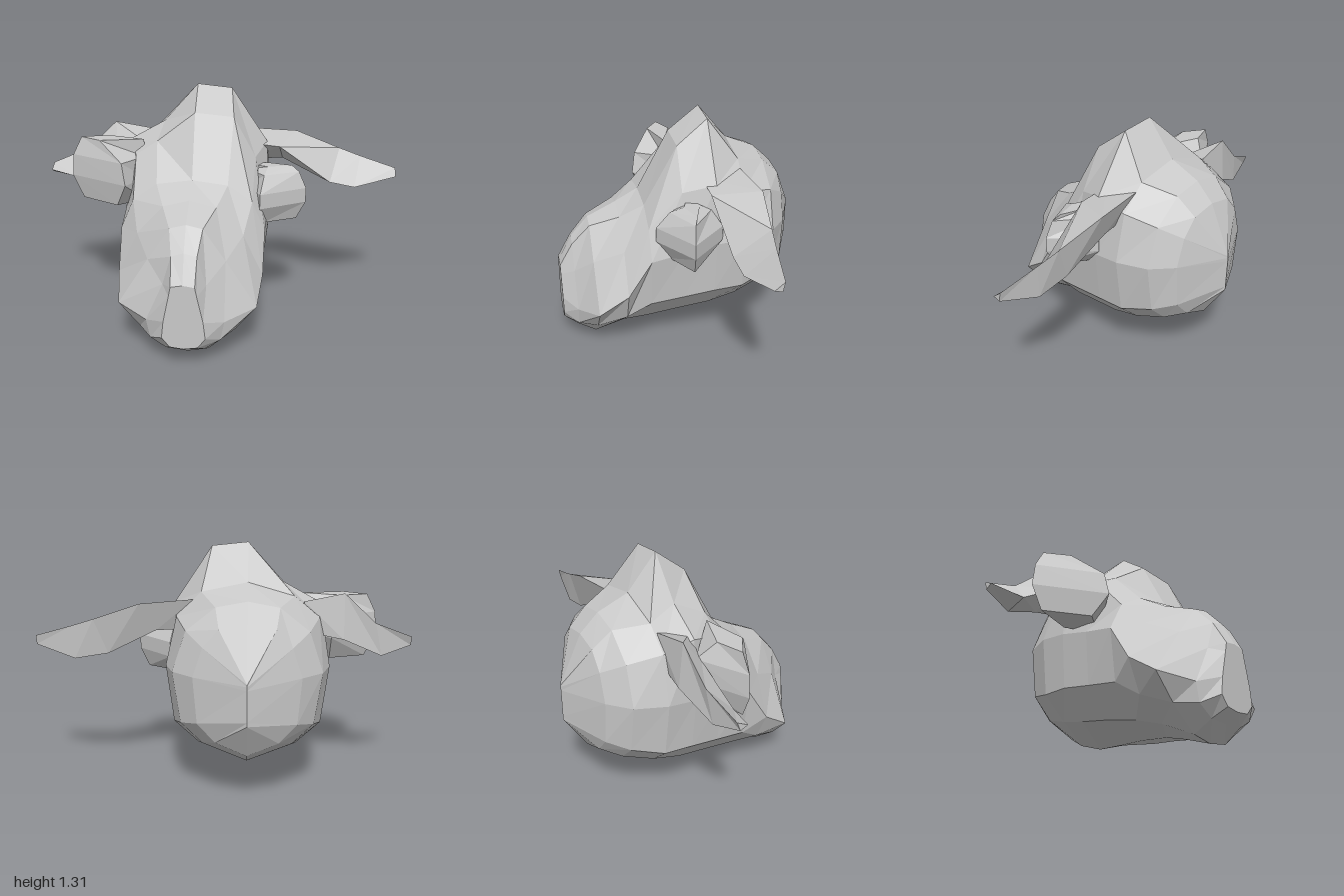
import * as THREE from 'three';

const hide = new THREE.MeshStandardMaterial({ color: 0xc8c8c8, flatShading: true });
hide.name = 'greyHide';

// Closed faceted solid through rings of [x, y, z] points; faces are turned outward.
function loft(name, rings) {
  const tris = [];
  const n = rings[0].length;
  const centre = (ring) => [0, 1, 2].map((k) => ring.reduce((s, p) => s + p[k], 0) / n);
  const first = rings[0], last = rings[rings.length - 1];
  const c0 = centre(first), c1 = centre(last);
  for (let j = 0; j < n; j++) {
    const k = (j + 1) % n;
    tris.push([c0, first[j], first[k]], [c1, last[k], last[j]]);
    for (let i = 0; i < rings.length - 1; i++) {
      const a = rings[i], b = rings[i + 1];
      tris.push([a[j], b[j], b[k]], [a[j], b[k], a[k]]);
    }
  }
  // Signed volume tells whether the winding must be reversed
  const v = tris.reduce((s, t) => {
    const [a, b, c] = t.map((p) => new THREE.Vector3(p[0] - c0[0], p[1] - c0[1], p[2] - c0[2]));
    return s + a.dot(b.cross(c));
  }, 0);
  if (v < 0) tris.forEach((t) => t.reverse());
  const geo = new THREE.BufferGeometry();
  geo.setAttribute('position', new THREE.Float32BufferAttribute(tris.flat(2), 3));
  geo.computeVertexNormals();
  const mesh = new THREE.Mesh(geo, hide);
  mesh.name = name;
  return mesh;
}

// Skull and muzzle: each station is mirrored about the head's own midline
function makeHead() {
  // z, top and bottom height, drop of the right ridge (the crest leans left),
  // then half-width and height of ridge, shoulder, cheek, jaw and throat
  const stations = [
    [0.685, 0.46, 0.11, 0, 0.06, 0.45, 0.07, 0.40, 0.10, 0.26, 0.11, 0.17, 0.07, 0.12],
    [0.61, 0.60, 0.07, 0, 0.065, 0.58, 0.11, 0.43, 0.20, 0.23, 0.18, 0.13, 0.10, 0.075],
    [0.51, 0.71, 0.0, 0, 0.085, 0.69, 0.20, 0.52, 0.36, 0.27, 0.25, 0.14, 0.11, 0.02],
    [0.35, 0.785, 0.06, 0, 0.14, 0.75, 0.28, 0.60, 0.385, 0.38, 0.31, 0.21, 0.16, 0.10],
    [0.22, 0.855, 0.10, 0, 0.19, 0.83, 0.32, 0.74, 0.39, 0.58, 0.35, 0.30, 0.21, 0.14],
    [0.04, 1.18, 0.127, 0.14, 0.21, 1.16, 0.33, 0.94, 0.40, 0.62, 0.37, 0.33, 0.24, 0.18],
    [-0.13, 1.31, 0.14, 0.19, 0.19, 1.29, 0.39, 0.99, 0.42, 0.66, 0.39, 0.36, 0.26, 0.21],
    [-0.29, 1.12, 0.155, 0.02, 0.24, 1.07, 0.37, 0.94, 0.43, 0.68, 0.39, 0.37, 0.26, 0.25],
    [-0.46, 1.05, 0.215, 0, 0.16, 1.02, 0.31, 0.90, 0.38, 0.69, 0.34, 0.42, 0.23, 0.31],
    [-0.56, 0.955, 0.28, 0, 0.14, 0.93, 0.22, 0.84, 0.27, 0.69, 0.25, 0.45, 0.16, 0.35],
  ];
  const midX = -0.13;
  const rings = stations.map(([z, top, bottom, drop, ...p]) => {
    const side = (s) => [0, 1, 2, 3, 4].map((i) =>
      [midX + s * p[2 * i], p[2 * i + 1] - (s < 0 && i === 0 ? drop : 0), z]);
    return [[midX, bottom, z], ...side(1).reverse(), [midX, top, z], ...side(-1)];
  });
  // Back of the skull closes on a short upright edge
  const edge = [0.48, 0.48, 0.50, 0.66, 0.68, 0.69];
  rings.push([...edge, 0.69, ...edge.slice(1).reverse()].map((y) => [midX, y, -0.685]));
  return loft('head', rings);
}

// Hooded eye: horizontal rings with front corner, outer ridge, back corner and inner anchor
function makeEye(name, innerX, levels) {
  return loft(name, levels.map(([y, fx, fz, rx, rz, bx, bz]) =>
    [[fx, y, fz], [rx, y, rz], [bx, y, bz], [innerX, y, 0]]));
}

export function createModel() {
  const group = new THREE.Group();
  group.name = 'animalHead';
  group.add(makeHead());

  group.add(makeEye('leftEye', 0.15, [
    [0.59, 0.25, 0.12, 0.43, 0.03, 0.26, -0.08],
    [0.69, 0.23, 0.19, 0.48, 0.04, 0.29, -0.16],
    [0.77, 0.23, 0.19, 0.48, 0.04, 0.29, -0.16],
    [0.86, 0.25, 0.12, 0.44, 0.03, 0.27, -0.1],
    [0.89, 0.27, 0.05, 0.40, 0.01, 0.26, -0.04],
  ]));
  group.add(makeEye('rightEye', -0.42, [
    [0.67, -0.56, 0.12, -0.78, -0.01, -0.58, -0.08],
    [0.80, -0.50, 0.18, -0.84, -0.02, -0.58, -0.16],
    [0.92, -0.52, 0.16, -0.83, -0.02, -0.58, -0.16],
    [1.02, -0.66, 0.05, -0.78, -0.03, -0.64, -0.08],
  ]));

  // Ears: triangular sections of leading edge, trailing top edge and underside
  group.add(loft('leftEar', [
    [[0.15, 0.99, -0.08], [0.15, 1.03, -0.29], [0.15, 0.86, -0.22]],
    [[0.33, 0.97, -0.08], [0.43, 1.01, -0.32], [0.35, 0.86, -0.26]],
    [[0.62, 0.76, -0.11], [0.68, 0.92, -0.28], [0.61, 0.73, -0.25]],
    [[0.76, 0.73, -0.12], [0.80, 0.88, -0.26], [0.79, 0.70, -0.25]],
    [[1.0, 0.78, -0.18], [1.0, 0.82, -0.23], [1.0, 0.77, -0.22]],
  ]));
  group.add(loft('rightEar', [
    [[-0.42, 0.97, -0.1], [-0.42, 1.02, -0.28], [-0.42, 0.86, -0.27]],
    [[-0.6, 0.92, -0.14], [-0.63, 1.06, -0.26], [-0.63, 0.82, -0.28]],
    [[-0.83, 0.76, -0.1], [-0.8, 0.9, -0.24], [-0.84, 0.72, -0.22]],
    [[-1.0, 0.79, -0.14], [-1.0, 0.82, -0.2], [-1.0, 0.77, -0.18]],
  ]));
  return group;
}
